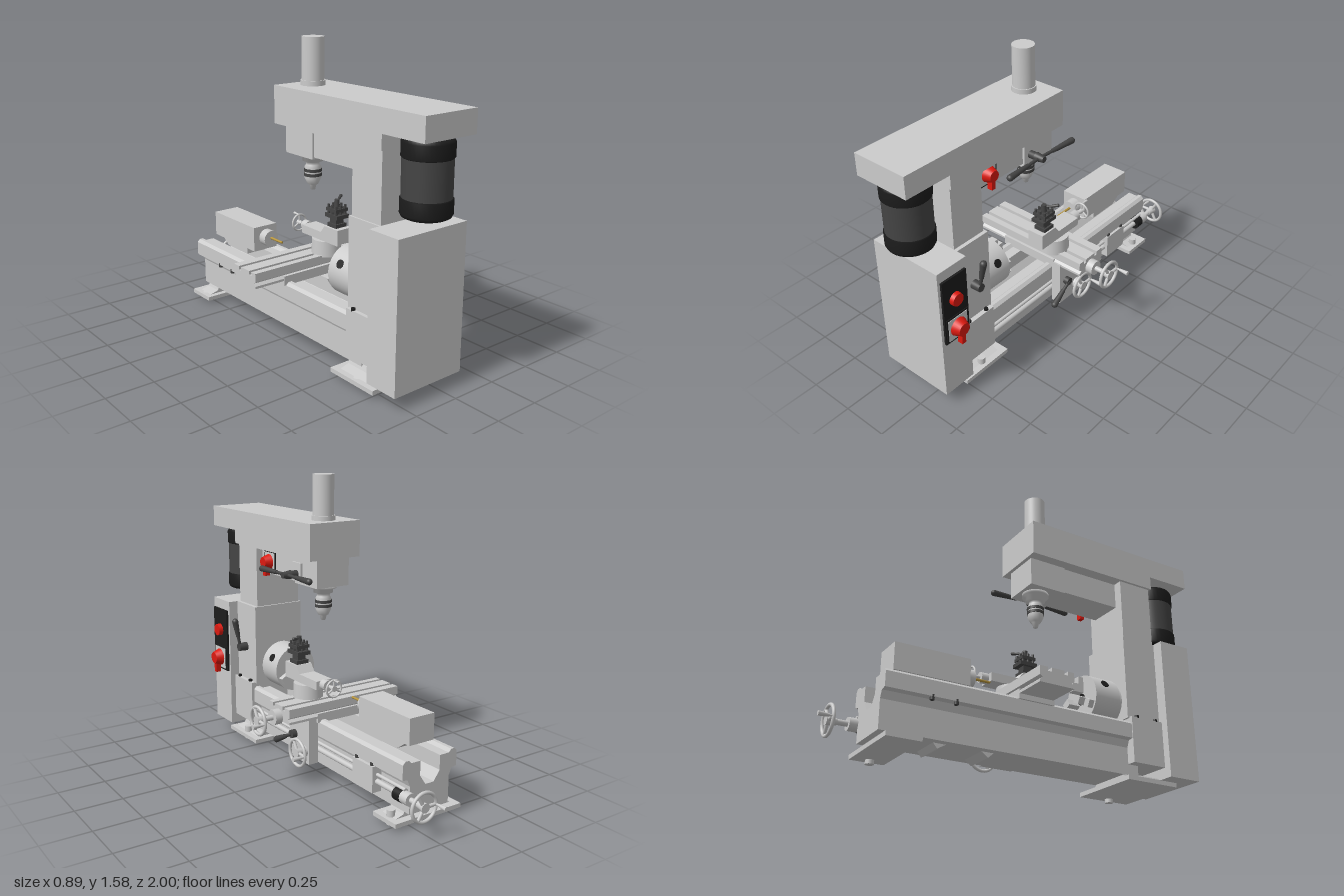
import * as THREE from 'three';

const mat = (color) => new THREE.MeshStandardMaterial({ color });
const V = (x, y, z) => new THREE.Vector3(x, y, z);

export function createModel() {
  const root = new THREE.Group();
  const grey = mat(0xcccccc), black = mat(0x1c1c1c), dark = mat(0x444444), red = mat(0xdd1a10), brass = mat(0xb8963e);

  const add = (name, geo, m = grey, parent = root) => {
    const mesh = new THREE.Mesh(geo, m);
    mesh.name = name;
    parent.add(mesh);
    return mesh;
  };
  // Box from its limits on each axis
  const box = (name, x0, x1, y0, y1, z0, z1, m, parent) => {
    const b = add(name, new THREE.BoxGeometry(x1 - x0, y1 - y0, z1 - z0), m, parent);
    b.position.set((x0 + x1) / 2, (y0 + y1) / 2, (z0 + z1) / 2);
    return b;
  };
  // Round bar between two points, r0 at a and r1 at b
  const rod = (name, a, b, r0, r1 = r0, m, parent, sides = 28) => {
    const d = b.clone().sub(a);
    const c = add(name, new THREE.CylinderGeometry(r1, r0, d.length(), sides), m, parent);
    c.position.copy(a).add(b).multiplyScalar(0.5);
    c.quaternion.setFromUnitVectors(V(0, 1, 0), d.normalize());
    return c;
  };
  const ball = (name, p, r, m, parent) => add(name, new THREE.SphereGeometry(r, 16, 12), m, parent).position.copy(p);
  const lathe = (name, pts, m, parent) =>
    add(name, new THREE.LatheGeometry(pts.map(([r, y]) => new THREE.Vector2(r, y)), 36).toNonIndexed(), m, parent);
  // Outline in x and y, extruded along z
  const extrude = (name, pts, z0, z1, m) => {
    const s = new THREE.Shape(pts.map(([x, y]) => new THREE.Vector2(x, y)));
    const e = add(name, new THREE.ExtrudeGeometry(s, { depth: z1 - z0, bevelEnabled: false }), m);
    e.position.z = z0;
    return e;
  };
  // Outline in z and y, extruded along x
  const sideExtrude = (name, pts, x0, x1, m) => {
    const e = extrude(name, pts.map(([z, y]) => [-z, y]), 0, x1 - x0, m);
    e.rotation.y = Math.PI / 2;
    e.position.set(x0, 0, 0);
    return e;
  };
  // Spoked wheel on local z, crank grip on local +x
  const handwheel = (name, pos, r, rotY, shaft, spin = 0) => {
    const g = new THREE.Group();
    g.name = name;
    const t = r * 0.11;
    add('rim', new THREE.TorusGeometry(r - t, t, 10, 40), grey, g);
    rod('shaft', V(0, 0, -shaft), V(0, 0, 0), r * 0.17, r * 0.17, grey, g);
    rod('hub', V(0, 0, -r * 0.5), V(0, 0, r * 0.15), r * 0.2, r * 0.3, grey, g);
    for (let i = 0; i < 3; i++) {
      const a = i * Math.PI * 2 / 3;
      rod('spoke', V(0, 0, 0), V(Math.cos(a) * r * 0.9, Math.sin(a) * r * 0.9, 0), r * 0.12, r * 0.1, grey, g, 10);
    }
    rod('crankPin', V(r * 0.87, 0, 0), V(r * 0.87, 0, r * 0.3), r * 0.07, r * 0.07, grey, g, 12);
    rod('crankGrip', V(r * 0.87, 0, r * 0.25), V(r * 0.87, 0, r * 0.9), r * 0.09, r * 0.15, grey, g, 16);
    g.position.copy(pos);
    g.rotation.set(0, rotY, spin);
    root.add(g);
  };
  // Dark lever with a thick rounded grip
  const lever = (name, a, b, r) => {
    const g = new THREE.Group();
    g.name = name;
    const mid = a.clone().lerp(b, 0.4);
    rod('stem', a, mid, r * 0.5, r * 0.5, dark, g, 14);
    rod('grip', mid, b, r * 0.65, r, dark, g, 18);
    ball('gripEnd', b, r, dark, g);
    root.add(g);
  };
  // Red rotary switch on a framed plate facing +x
  const rotarySwitch = (x, y, z, s) => {
    box('switchFrame', x, x + 0.006, y - s, y + s, z - s, z + s, black);
    box('switchPlate', x, x + 0.009, y - s * 0.86, y + s * 0.86, z - s * 0.86, z + s * 0.86, grey);
    rod('switchKnob', V(x, y, z), V(x + 0.05, y, z), s * 0.76, s * 0.48, red);
    box('switchPointer', x + 0.012, x + 0.042, y - s * 1.25, y, z - 0.012, z + 0.012, red);
  };

  // Feet, each with a bolt and an empty hole
  for (const [z0, z1] of [[0.47, 0.77], [-0.8, -0.63]]) {
    const s = new THREE.Shape([[-0.305, z0], [0.1, z0], [0.1, z1], [-0.305, z1]].map(([x, z]) => new THREE.Vector2(x, -z)));
    const zc = z0 > 0 ? 0.625 : -0.715;
    const hole = new THREE.Path();
    hole.absarc(-0.27, -zc, 0.018, 0, Math.PI * 2, true);
    s.holes.push(hole);
    const f = add('foot', new THREE.ExtrudeGeometry(s, { depth: 0.022, bevelEnabled: false }));
    f.rotation.x = -Math.PI / 2;
    f.position.y = 0.02;
    extrude('footRiser', [[-0.3, 0.035], [0.09, 0.035], [0.02, 0.055], [0.01, 0.08], [-0.215, 0.08], [-0.225, 0.055]], z0 + 0.04, z1 - 0.03);
    rod('footBolt', V(0.06, 0, zc), V(0.06, 0.075, zc), 0.021);
  }

  // Bed with two ways, a channel between them and undercut sides
  extrude('bed', [[-0.22, 0.07], [0.02, 0.07], [0.02, 0.21], [0.035, 0.245], [0.065, 0.25], [0.065, 0.325], [0.05, 0.34],
    [0.03, 0.34], [0.015, 0.325], [-0.04, 0.325], [-0.04, 0.25], [-0.075, 0.2], [-0.125, 0.2], [-0.16, 0.25], [-0.16, 0.325],
    [-0.215, 0.325], [-0.23, 0.34], [-0.25, 0.34], [-0.265, 0.325], [-0.265, 0.25], [-0.235, 0.245], [-0.22, 0.21]], -0.8, 0.6);
  for (const [a, b, c] of [[-0.2, -0.24, -0.29], [-0.53, -0.5, -0.44]])
    sideExtrude('bedGusset', [[a, 0.08], [b, 0.045], [c, 0.08]], -0.18, -0.02);

  // Lead screw, feed rod and their bearings
  rod('leadScrew', V(0.045, 0.165, -0.8), V(0.045, 0.165, 0.55), 0.014);
  rod('feedRod', V(0.045, 0.2, -0.8), V(0.045, 0.2, 0.55), 0.009);
  rod('leadScrewCollar', V(0.045, 0.165, -0.79), V(0.045, 0.165, -0.74), 0.034, 0.034, black);
  rod('leadScrewBoss', V(0.045, 0.165, -0.84), V(0.045, 0.165, -0.79), 0.032);
  handwheel('leadScrewWheel', V(0.045, 0.165, -0.93), 0.08, Math.PI, 0.12);
  box('rodBracket', 0.02, 0.075, 0.11, 0.245, -0.59, -0.43);
  for (const z of [-0.57, -0.45]) for (const x of [-0.255, 0.062])
    rod('bracketBolt', V(x, 0.235, z), V(x, 0.26, z), 0.011, 0.011, dark);

  // Headstock, cabinet and post
  box('headstockBase', -0.27, 0.08, 0.125, 0.365, 0.54, 0.74);
  box('headstock', -0.25, 0.055, 0.36, 0.81, 0.53, 0.74);
  box('cabinet', -0.31, 0.11, 0.07, 0.81, 0.735, 0.92);
  box('post', -0.24, 0.035, 0.81, 1.16, 0.54, 0.735);
  for (const x of [-0.26, 0.067]) for (const z of [0.58, 0.7])
    rod('baseBolt', V(x, 0.36, z), V(x, 0.375, z), 0.011, 0.011, black);
  box('controlPanel', 0.11, 0.122, 0.39, 0.755, 0.75, 0.905, black);
  rod('stopButton', V(0.12, 0.63, 0.83), V(0.145, 0.63, 0.83), 0.036, 0.033, red);
  rotarySwitch(0.12, 0.463, 0.828, 0.07);
  rod('gearLeverPivot', V(0.05, 0.56, 0.64), V(0.105, 0.56, 0.64), 0.025, 0.022, dark);
  lever('gearLever', V(0.095, 0.56, 0.64), V(0.125, 0.715, 0.64), 0.018);

  // Three-jaw chuck
  const chuck = new THREE.Group();
  chuck.name = 'latheChuck';
  chuck.position.set(-0.1, 0.47, 0);
  root.add(chuck);
  rod('backPlate', V(0, 0, 0.5), V(0, 0, 0.54), 0.11, 0.11, grey, chuck, 40);
  rod('chuckBody', V(0, 0, 0.355), V(0, 0, 0.505), 0.127, 0.127, grey, chuck, 48);
  rod('chuckBore', V(0, 0, 0.352), V(0, 0, 0.36), 0.03, 0.03, black, chuck);
  for (let i = 0; i < 3; i++) {
    const jaw = new THREE.Group();
    jaw.name = 'jaw';
    jaw.rotation.z = Math.PI / 2 + i * Math.PI * 2 / 3;
    box('jawLow', 0.03, 0.115, -0.02, 0.02, 0.325, 0.36, grey, jaw);
    box('jawHigh', 0.03, 0.075, -0.02, 0.02, 0.29, 0.33, grey, jaw);
    rod('keySocket', V(-0.1, 0, 0.425), V(-0.13, 0, 0.425), 0.022, 0.022, black, jaw);
    chuck.add(jaw);
  }

  // Saddle, apron and slotted table
  box('saddle', -0.275, 0.075, 0.325, 0.375, -0.13, 0.065);
  box('apron', 0.066, 0.122, 0.1, 0.36, -0.115, 0.065);
  sideExtrude('table', [[-0.13, 0.35], [0.06, 0.35], [0.06, 0.362], [0.045, 0.375], [0.06, 0.385], [0.06, 0.43], [0.025, 0.43],
    [0.025, 0.41], [0.005, 0.41], [0.005, 0.43], [-0.065, 0.43], [-0.065, 0.41], [-0.085, 0.41], [-0.085, 0.43],
    [-0.13, 0.43], [-0.13, 0.385], [-0.115, 0.375], [-0.13, 0.362]], -0.45, 0.25);
  rod('tableBoss', V(0.25, 0.37, -0.03), V(0.29, 0.37, -0.03), 0.04);
  handwheel('tableWheel', V(0.373, 0.37, -0.03), 0.08, Math.PI / 2, 0.1);
  rod('apronBoss', V(0.12, 0.165, -0.075), V(0.14, 0.165, -0.075), 0.03);
  handwheel('apronWheel', V(0.167, 0.165, -0.075), 0.08, Math.PI / 2, 0.05);
  rod('apronLeverPivot', V(0.11, 0.235, 0.015), V(0.15, 0.235, 0.015), 0.022, 0.022, dark);
  lever('apronLever', V(0.145, 0.235, 0.015), V(0.155, 0.165, 0.15), 0.018);

  // Compound slide and tool post
  rod('swivel', V(0.04, 0.42, 0.015), V(0.04, 0.505, 0.015), 0.08, 0.076, grey, root, 40);
  sideExtrude('compoundSlide', [[-0.13, 0.505], [0.165, 0.505], [0.165, 0.59], [0.06, 0.59], [0.03, 0.55], [-0.13, 0.55]], -0.01, 0.085);
  rod('compoundBoss', V(0.04, 0.53, -0.17), V(0.04, 0.53, -0.13), 0.028);
  handwheel('compoundWheel', V(0.04, 0.53, -0.22), 0.05, Math.PI, 0.08, Math.PI / 2);
  box('toolPostBase', 0.005, 0.075, 0.59, 0.61, 0.065, 0.135, dark);
  box('toolPostCore', 0.015, 0.065, 0.61, 0.695, 0.075, 0.125, dark);
  box('toolPostTop', 0.0, 0.08, 0.675, 0.692, 0.06, 0.14, dark);
  for (const dx of [-1, 0, 1]) for (const dz of [-1, 0, 1]) if (dx || dz)
    rod('toolScrew', V(0.04 + dx * 0.03, 0.65, 0.1 + dz * 0.03), V(0.04 + dx * 0.03, 0.71, 0.1 + dz * 0.03), 0.007, 0.007, dark, root, 10);
  box('toolPostCross', 0.0, 0.08, 0.64, 0.66, 0.05, 0.15, dark);
  rod('toolPostHub', V(0.04, 0.69, 0.1), V(0.04, 0.735, 0.1), 0.016, 0.013, dark);
  lever('toolPostLever', V(0.04, 0.72, 0.1), V(0.1, 0.735, 0.06), 0.009);

  // Tailstock with quill and centre
  sideExtrude('tailstockBase', [[-0.63, 0.33], [-0.44, 0.33], [-0.44, 0.38], [-0.7, 0.38]], -0.16, -0.04);
  box('tailstock', -0.18, -0.03, 0.375, 0.51, -0.73, -0.34);
  rod('tailstockNose', V(-0.1, 0.445, -0.35), V(-0.1, 0.445, -0.29), 0.045, 0.045);
  rod('centre', V(-0.1, 0.45, -0.3), V(-0.1, 0.45, -0.19), 0.007, 0.006, brass, root, 12);

  // Upper arm, raised at its front end over the motor
  sideExtrude('upperArm', [[-0.03, 1.15], [0.745, 1.15], [0.745, 1.225], [1.0, 1.225], [1.0, 1.34], [-0.03, 1.34]], -0.255, 0.055);
  rod('quillTube', V(-0.1, 1.34, 0.08), V(-0.1, 1.575, 0.08), 0.056, 0.056, grey, root, 40);
  rod('quillCollar', V(-0.1, 1.34, 0.08), V(-0.1, 1.365, 0.08), 0.062, 0.062, grey, root, 40);

  // Motor
  const motor = (name, r, y0, y1, m) => rod(name, V(-0.1, y0, 0.87), V(-0.1, y1, 0.87), r, r, m, root, 48);
  motor('motorBody', 0.114, 0.94, 1.14, dark);
  motor('motorNeck', 0.07, 1.2, 1.23, black);
  for (const [y, s] of [[0.86, 1], [1.217, -1]]) {
    const cap = lathe('motorCap', [[0, 0], [0.1, 0], [0.112, 0.006], [0.119, 0.02], [0.119, 0.085], [0.112, 0.092], [0, 0.092]], black);
    cap.position.set(-0.1, y, 0.87);
    if (s < 0) cap.rotation.x = Math.PI;
  }

  // Drill head, spindle and drill chuck
  box('drillHead', -0.2, 0, 1.0, 1.16, -0.01, 0.2);
  box('drillHeadNeck', -0.19, -0.005, 1.01, 1.16, 0.19, 0.55);
  rotarySwitch(-0.006, 1.077, 0.457, 0.06);
  box('feedPlate', 0, 0.012, 1.015, 1.115, 0.125, 0.21);
  rod('feedHub', V(0, 1.055, 0.165), V(0.075, 1.055, 0.165), 0.02, 0.02, dark);
  rod('feedHubCap', V(0.05, 1.055, 0.165), V(0.1, 1.055, 0.165), 0.024, 0.016, dark);
  lever('feedLeverFront', V(0.07, 1.055, 0.165), V(0.085, 1.057, 0.395), 0.017);
  lever('feedLeverBack', V(0.07, 1.055, 0.165), V(0.085, 1.057, -0.065), 0.017);
  lathe('drillChuck', [[0, 0.81], [0.012, 0.81], [0.018, 0.835], [0.028, 0.84], [0.042, 0.87], [0.042, 0.93], [0.034, 0.94],
    [0.034, 0.955], [0.052, 0.96], [0.052, 0.98], [0.07, 0.985], [0.07, 1.005], [0, 1.005]]).position.set(-0.1, 0, 0.078);
  for (const y of [0.882, 0.905])
    rod('chuckGripBand', V(-0.1, y, 0.078), V(-0.1, y + 0.015, 0.078), 0.045, 0.045, dark, root, 32);

  // Flat-shaded normals for turned parts come from smooth profiles
  root.traverse((o) => { if (o.isMesh && !o.geometry.attributes.normal) o.geometry.computeVertexNormals(); });
  return root;
}
